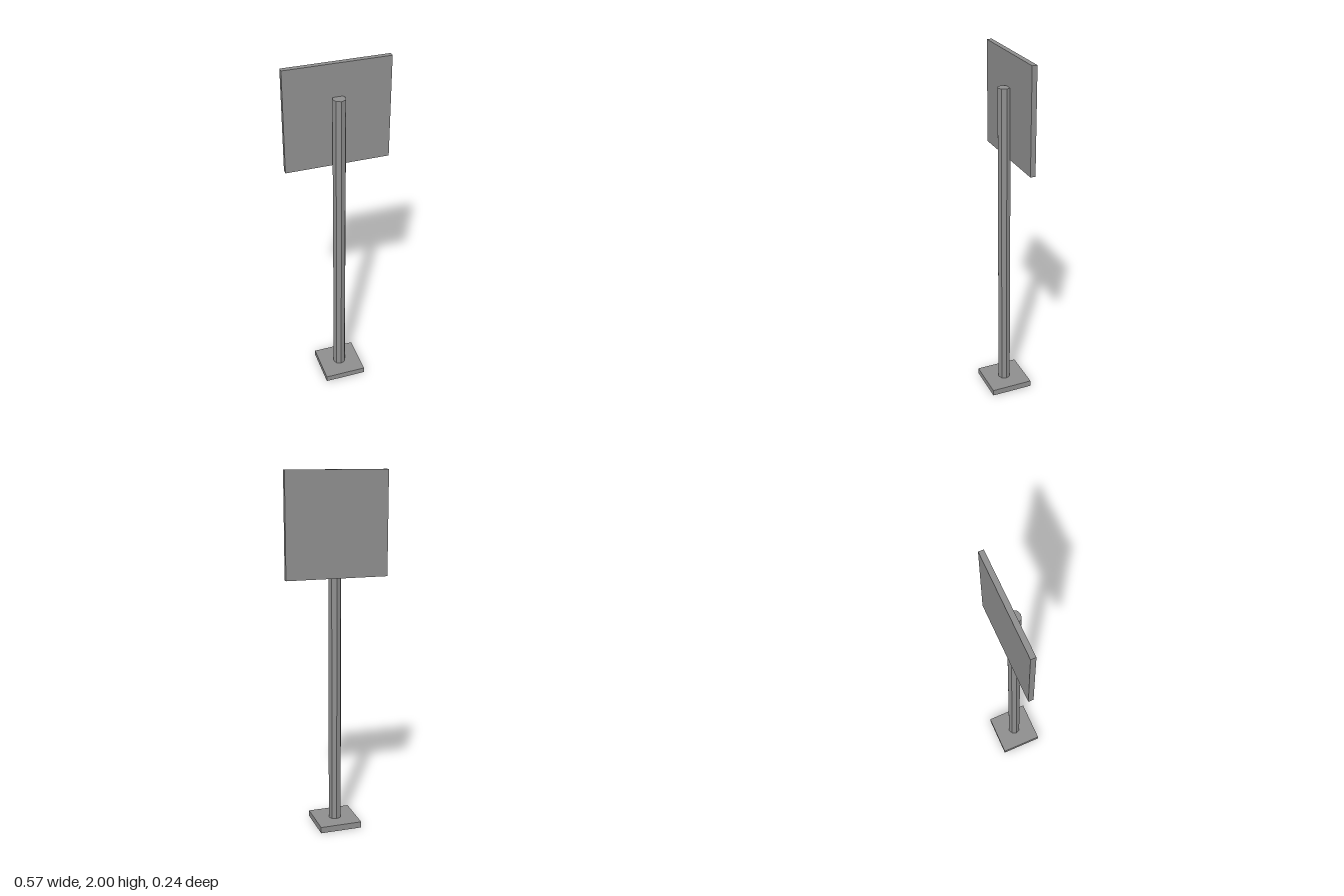
import * as THREE from 'three';

export function createModel() {
  const group = new THREE.Group();
  const material = new THREE.MeshStandardMaterial({ color: 0x8f8f8f, flatShading: true });

  const add = (name, geometry, x, y, z) => {
    const mesh = new THREE.Mesh(geometry, material);
    mesh.name = name;
    mesh.position.set(x, y, z);
    group.add(mesh);
  };

  // Square foot plate
  const baseHeight = 0.035;
  add('base', new THREE.BoxGeometry(0.239, baseHeight, 0.239), 0, baseHeight / 2, 0);

  // Eight-sided post, a corner facing the front
  const postTop = 1.82;
  add('post', new THREE.CylinderGeometry(0.036, 0.036, postTop - baseHeight, 8), 0, (postTop + baseHeight) / 2, 0);

  // Square sign panel fixed to the back of the post
  const panelSize = 0.57;
  add('signPanel', new THREE.BoxGeometry(panelSize, panelSize, 0.028), 0, 2 - panelSize / 2, -0.036);

  return group;
}
